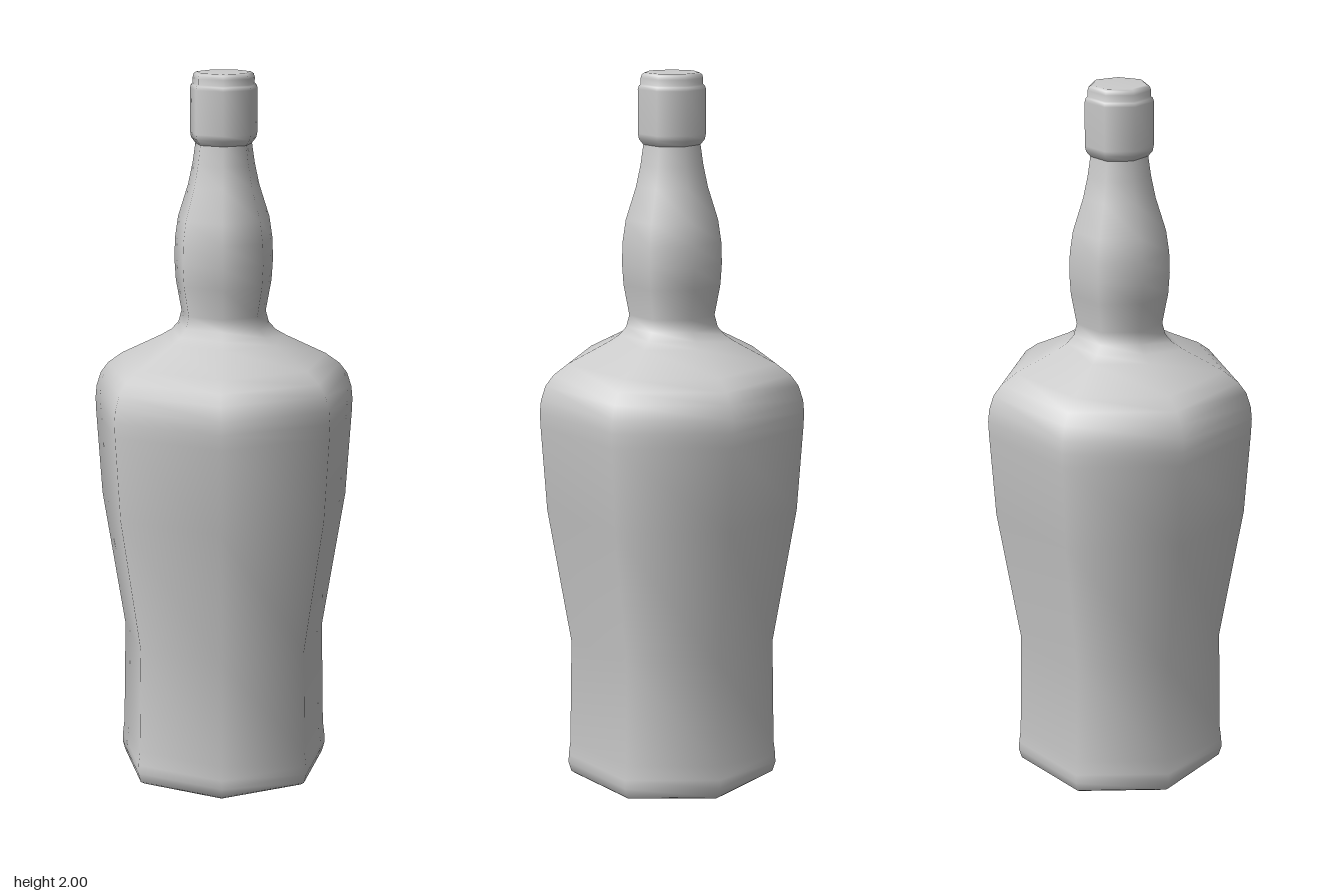
import * as THREE from 'three';

const SIDES = 7;
const AXIS_X = 0.0187; // a heptagon's axis sits off the middle of its width

// Seven-sided smooth turned part, with one corner pointing to -x
function turned(name, profile, material) {
  const points = profile.map(([r, y]) => new THREE.Vector2(r, y));
  const mesh = new THREE.Mesh(new THREE.LatheGeometry(points, SIDES, -Math.PI / 2), material);
  mesh.name = name;
  mesh.position.x = AXIS_X;
  return mesh;
}

export function createModel() {
  const group = new THREE.Group();
  group.name = 'bottle';
  const material = new THREE.MeshStandardMaterial({ color: 0xcccccc });

  // Flat base, waisted body, round shoulder and bulbous neck
  group.add(turned('bottleBody', [
    [0, 0], [0.285, 0], [0.297, 0.008], [0.305, 0.035], [0.304, 0.06], [0.299, 0.1],
    [0.293, 0.4], [0.358, 0.79],
    [0.374, 1.03], [0.3755, 1.07], [0.372, 1.105], [0.359, 1.145], [0.336, 1.175],
    [0.295, 1.205], [0.18, 1.262], [0.15, 1.28], [0.13, 1.302], [0.121, 1.335],
    [0.137, 1.42], [0.141, 1.48], [0.139, 1.54], [0.13, 1.6],
    [0.101, 1.69], [0.088, 1.75], [0.08, 1.805],
  ], material));

  // Stopper cap with a small step at its rim
  group.add(turned('cap', [
    [0.08, 1.805], [0.092, 1.82], [0.095, 1.835], [0.095, 1.955], [0.092, 1.965],
    [0.087, 1.969], [0.087, 1.985], [0.084, 1.995], [0.076, 2], [0, 2],
  ], material));

  return group;
}
